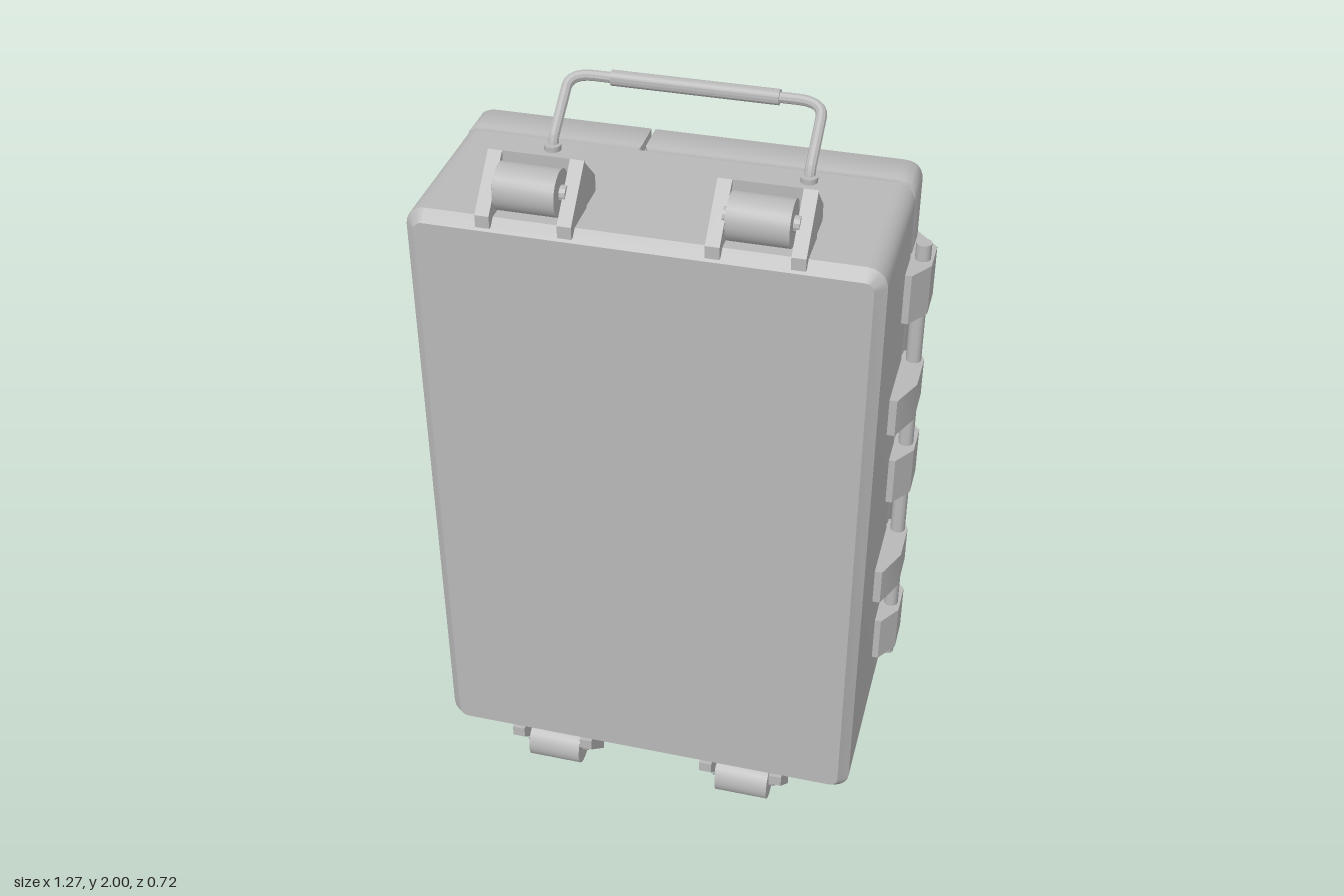
import * as THREE from 'three';
import { toCreasedNormals } from 'three/addons/utils/BufferGeometryUtils.js';

const grey = new THREE.MeshStandardMaterial({ color: 0xb8b8b8 });
grey.name = 'grey shell';
const black = new THREE.MeshStandardMaterial({ color: 0x0a0a0a });
black.name = 'black panel';

const HW = 0.58, HH = 0.847, R = 0.05; // case half width, half height, corner radius

function add(parent, name, geo, mat = grey, x = 0, y = 0, z = 0) {
  const mesh = new THREE.Mesh(toCreasedNormals(geo, 0.5), mat);
  mesh.name = name;
  mesh.position.set(x, y, z);
  parent.add(mesh);
  return mesh;
}

// Rounded-rectangle block from [z, inset] rings, listed from low z to high z
function loft(hw, hh, r, rings) {
  const pos = [], idx = [], seg = 5, n = 4 * (seg + 1);
  for (const [z, inset] of rings) {
    const rr = Math.max(r - inset, 0.004);
    for (let c = 0; c < 4; c++) for (let i = 0; i <= seg; i++) {
      const a = (c + i / seg) * Math.PI / 2;
      const sx = c === 0 || c === 3 ? 1 : -1, sy = c < 2 ? 1 : -1;
      pos.push(sx * (hw - inset - rr) + rr * Math.cos(a), sy * (hh - inset - rr) + rr * Math.sin(a), z);
    }
  }
  const last = (rings.length - 1) * n, c0 = rings.length * n;
  pos.push(0, 0, rings[0][0], 0, 0, rings[rings.length - 1][0]);
  for (let i = 0; i < n; i++) {
    const j = (i + 1) % n;
    for (let k = 0; k < last; k += n) idx.push(k + i, k + j, k + n + j, k + i, k + n + j, k + n + i);
    idx.push(c0, j, i, c0 + 1, last + i, last + j);
  }
  const geo = new THREE.BufferGeometry();
  geo.setAttribute('position', new THREE.Float32BufferAttribute(pos, 3));
  geo.setIndex(idx);
  return geo;
}

const polygon = (pts) => new THREE.Shape(pts.map(([x, y]) => new THREE.Vector2(x, y)));
const rect = (x0, x1, y0, y1) => [[x0, y0], [x1, y0], [x1, y1], [x0, y1]];
const extrude = (shape, depth, bevel = 0) => new THREE.ExtrudeGeometry(shape, {
  depth: depth - 2 * bevel, bevelEnabled: bevel > 0, bevelSize: bevel,
  bevelThickness: bevel, bevelOffset: -bevel, bevelSegments: 2, curveSegments: 6,
}).translate(0, 0, bevel);

// Profile of [x, z] points, extruded upwards around a centre height
const alongY = (pts, y, h) =>
  extrude(polygon(pts.map(([x, z]) => [x, -z])), h).rotateX(-Math.PI / 2).translate(0, y - h / 2, 0);
// Profile of [z, y] points, extruded sideways from x0 to x1
const alongX = (pts, x0, x1) =>
  extrude(polygon(pts.map(([z, y]) => [-z, y])), x1 - x0).rotateY(Math.PI / 2).translate(x0, 0, 0);

// One door of the split lid; side is +1 or -1
function doorShape(side) {
  const half = [[-0.11, HH], [-0.11, 0.68], [-0.045, 0.67], [-0.045, 0.5], [-0.11, 0.46], [-0.11, 0.26], [-0.045, 0.22]];
  const split = [...half, ...half.map(([x, y]) => [x, -y]).reverse()];
  const s = polygon(split.map(([x, y]) => [x + side * 0.005, y]));
  s.lineTo(side * (HW - R), -HH);
  s.quadraticCurveTo(side * HW, -HH, side * HW, -HH + R);
  s.lineTo(side * HW, HH - R);
  s.quadraticCurveTo(side * HW, HH, side * (HW - R), HH);
  return s;
}

// Carry handle on one end
function makeHandle() {
  const g = new THREE.Group();
  g.name = 'carryHandle';
  const V = (x, y, z) => new THREE.Vector3(x, y, z);
  const path = new THREE.CurvePath();
  const foot = V(0.325, 0.83, -0.02), knee = V(0.325, 0.875, -0.03);
  const end = V(0.325, 0.955, -0.145), corner = V(0.325, 0.98, -0.178), bar = V(0.26, 0.98, -0.178);
  const m = (v) => V(-v.x, v.y, v.z);
  path.add(new THREE.LineCurve3(foot, knee));
  path.add(new THREE.LineCurve3(knee, end));
  path.add(new THREE.QuadraticBezierCurve3(end, corner, bar));
  path.add(new THREE.LineCurve3(bar, m(bar)));
  path.add(new THREE.QuadraticBezierCurve3(m(bar), m(corner), m(end)));
  path.add(new THREE.LineCurve3(m(end), m(knee)));
  path.add(new THREE.LineCurve3(m(knee), m(foot)));
  add(g, 'handleRod', new THREE.TubeGeometry(path, 90, 0.014, 10));
  add(g, 'handleGrip', new THREE.CylinderGeometry(0.02, 0.02, 0.43, 16).rotateZ(Math.PI / 2), grey, 0, 0.98, -0.178);
  for (const s of [-1, 1]) add(g, 'handleCollar', new THREE.CylinderGeometry(0.022, 0.022, 0.02, 16), grey, s * 0.325, HH + 0.004, -0.02);
  return g;
}

// Bracket with a roller
function makeRollerFoot(x) {
  const g = new THREE.Group();
  g.name = 'rollerFoot';
  g.position.x = x;
  add(g, 'footBlock', alongX([[0.245, 0.83], [0.245, 0.975], [0.155, 0.89], [0.155, 0.83]], -0.115, 0.115));
  const cheek = [[0.363, 0.83], [0.363, 0.862], [0.245, 0.975], [0.24, 0.83]];
  for (const x0 of [-0.118, 0.083]) add(g, 'footCheek', alongX(cheek, x0, x0 + 0.035));
  add(g, 'roller', new THREE.CylinderGeometry(0.058, 0.058, 0.15, 24).rotateZ(Math.PI / 2), grey, 0, 0.912, 0.297);
  add(g, 'rollerAxle', new THREE.CylinderGeometry(0.02, 0.02, 0.18, 12).rotateZ(Math.PI / 2), grey, 0, 0.912, 0.297);
  return g;
}

// Hinge rod with its lid and body knuckles
function makeHinge() {
  const g = new THREE.Group();
  g.name = 'sideHinge';
  add(g, 'hingeRod', new THREE.CylinderGeometry(0.02, 0.02, 1.37, 16), grey, 0.61, 0, -0.077);
  const lidClip = [[0.43, -0.18], [0.43, -0.206], [0.436, -0.212], [0.572, -0.212], [0.637, -0.14],
    [0.637, -0.045], [0.597, 0.015], [0.575, 0.015], [0.575, -0.18]];
  const bodyClip = [[0.575, 0.12], [0.6, 0.12], [0.637, 0.035], [0.637, -0.08], [0.625, -0.11], [0.575, -0.11]];
  for (const y of [-0.57, 0, 0.57]) add(g, 'lidKnuckle', alongY(lidClip, y, 0.14));
  for (const y of [-0.283, 0.283]) add(g, 'bodyKnuckle', alongY(bodyClip, y, 0.108));
  return g;
}

// Turn latch joining the two doors
function makeLatch(y) {
  const g = new THREE.Group();
  g.name = 'latch';
  g.position.y = y;
  const pad = [[-0.235, 0.014], [-0.222, 0], [-0.185, 0]];
  add(g, 'latchPlate', loft(0.107, 0.1, 0.015, pad), grey, 0.043);
  add(g, 'latchKeeper', loft(0.084, 0.1, 0.015, pad), grey, -0.214);
  add(g, 'latchKnob', new THREE.CylinderGeometry(0.072, 0.066, 0.03, 32).rotateX(Math.PI / 2), grey, 0.018, 0, -0.235);
  add(g, 'knobGrip', new THREE.BoxGeometry(0.1, 0.014, 0.006), grey, 0.018, 0, -0.25);
  for (const s of [-1, 1]) add(g, 'latchLink', new THREE.BoxGeometry(0.11, 0.026, 0.035), grey, -0.098, s * 0.03, -0.21);
  return g;
}

// Opened display flap: a shallow tray with a black panel inside
function makeFlap() {
  const g = new THREE.Group();
  g.name = 'displayFlap';
  g.position.set(0.205, 0, -0.255);
  g.rotation.y = Math.PI * 0.75;
  add(g, 'flapBack', loft(0.113, 0.165, 0.012, [[-0.035, 0.01], [-0.027, 0], [0.005, 0]]));
  const frame = polygon(rect(-0.113, 0.113, -0.165, 0.165));
  frame.holes.push(polygon(rect(-0.085, 0.085, -0.135, 0.135)));
  add(g, 'flapFrame', extrude(frame, 0.05, 0.01).translate(0, 0, -0.015));
  add(g, 'flapPanel', new THREE.BoxGeometry(0.17, 0.27, 0.006), black, 0, 0, 0.007);
  return g;
}

export function createModel() {
  const model = new THREE.Group();
  model.name = 'equipmentCase';
  const hull = new THREE.Group();
  hull.name = 'case';
  hull.position.y = 1.001;
  model.add(hull);

  add(hull, 'body', loft(HW, HH, R, [[-0.076, 0.008], [-0.068, 0], [0.335, 0], [0.362, 0.027]]));
  add(hull, 'lidCore', new THREE.BoxGeometry(1.11, 1.64, 0.14), grey, 0, 0, -0.07);

  // Two doors; the wide one has the display recess
  for (const side of [1, -1]) {
    const shape = doorShape(side);
    if (side > 0) shape.holes.push(polygon(rect(0.07, 0.315, -0.168, 0.168)));
    add(hull, side > 0 ? 'wideDoor' : 'narrowDoor', extrude(shape, 0.11, 0.01), grey, 0, 0, -0.195);
  }
  hull.add(makeFlap(), makeLatch(0.355), makeLatch(-0.355));

  // Fittings repeat on opposite sides by a half turn
  for (const turn of [0, Math.PI]) {
    const half = new THREE.Group();
    half.name = 'fittings';
    half.rotation.z = turn;
    half.add(makeHandle(), makeRollerFoot(-0.277), makeRollerFoot(0.277), makeHinge());
    hull.add(half);
  }
  return model;
}
